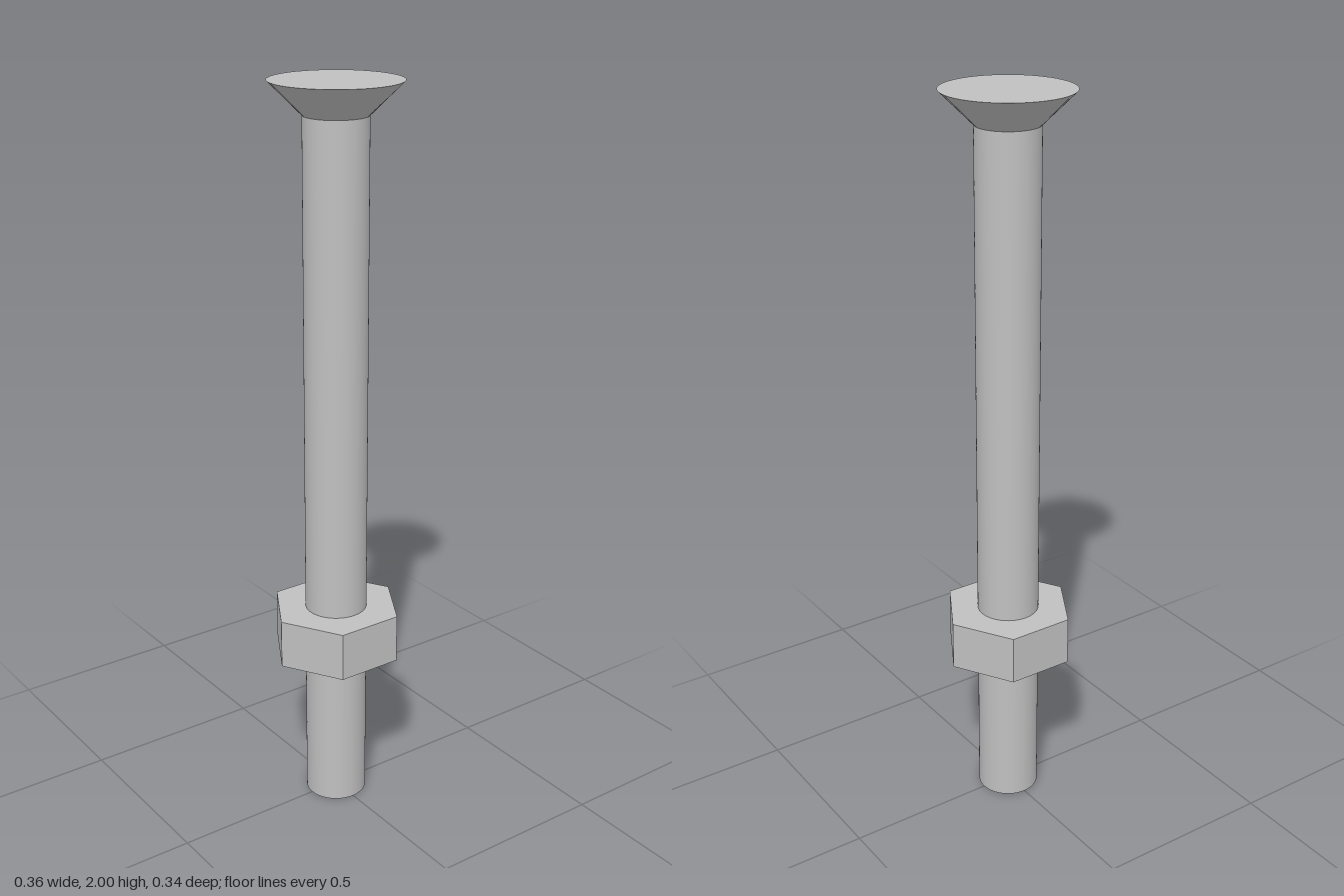
import * as THREE from 'three';

const SHAFT_R = 0.084, HEAD_R = 0.17, HEAD_H = 0.085, TOP = 2;
const NUT_R = 0.182, NUT_Y = 0.445, NUT_H = 0.135;

export function createModel() {
  const group = new THREE.Group();
  group.name = 'countersunkBoltWithNut';
  const steel = new THREE.MeshStandardMaterial({ color: 0xc0c0c0 });
  steel.name = 'steel';

  const add = (name, geometry, y) => {
    const mesh = new THREE.Mesh(geometry, steel);
    mesh.name = name;
    mesh.position.y = y;
    group.add(mesh);
  };

  // Smooth round shaft, reaching up to the head
  const shaftH = TOP - HEAD_H;
  add('shaft', new THREE.CylinderGeometry(SHAFT_R, SHAFT_R, shaftH, 64), shaftH / 2);

  // Countersunk head with a flat top
  add('head', new THREE.CylinderGeometry(HEAD_R, SHAFT_R, HEAD_H, 64), TOP - HEAD_H / 2);

  // Hexagonal nut with corners on the x axis and a bore gripping the shaft
  const hexagon = new THREE.Shape();
  for (let i = 0; i < 6; i++) {
    const a = (i * Math.PI) / 3;
    const x = NUT_R * Math.cos(a), y = NUT_R * Math.sin(a);
    if (i === 0) hexagon.moveTo(x, y);
    else hexagon.lineTo(x, y);
  }
  hexagon.closePath();
  hexagon.holes.push(new THREE.Path().absarc(0, 0, SHAFT_R - 0.003, 0, Math.PI * 2, true));
  const nut = new THREE.ExtrudeGeometry(hexagon, { depth: NUT_H, bevelEnabled: false, curveSegments: 32 });
  nut.rotateX(-Math.PI / 2);
  add('nut', nut, NUT_Y);

  return group;
}
